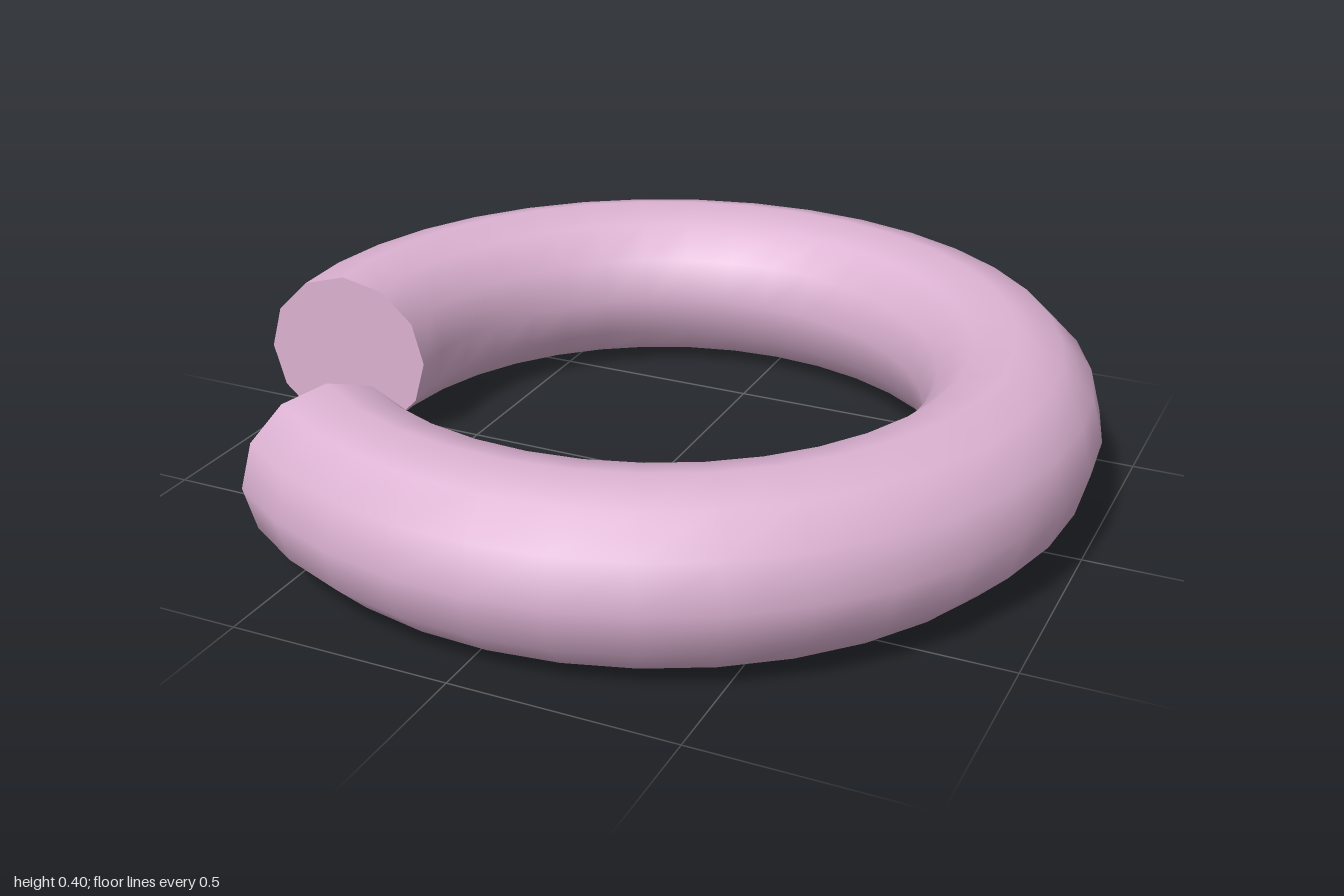
import * as THREE from 'three';

const RING = 0.8, TUBE = 0.2, SIDES = 12;
const GAP = 0.8;                          // opening, in radians
const GAP_CENTRE = Math.PI * 5 / 6;       // measured from +x towards +z
const START = GAP_CENTRE + GAP / 2;
const ARC = Math.PI * 2 - GAP;

export function createModel() {
  const group = new THREE.Group();
  group.name = 'openRing';
  const material = new THREE.MeshStandardMaterial({ color: 0xdcb2d2 });

  const add = (name, geometry) => {
    const mesh = new THREE.Mesh(geometry, material);
    mesh.name = name;
    mesh.position.y = TUBE;
    group.add(mesh);
  };

  // Curved body, laid flat and turned so its opening is at the front right
  add('ringBody', new THREE.TorusGeometry(RING, TUBE, SIDES, 32, ARC)
    .rotateX(Math.PI / 2).rotateY(-START));

  // Flat discs closing the two cut ends
  const cap = (name, angle, flip) => add(name, new THREE.CircleGeometry(TUBE, SIDES)
    .rotateY(flip).translate(RING, 0, 0).rotateY(-angle));
  cap('startCap', START, Math.PI);
  cap('endCap', START + ARC, 0);

  return group;
}
